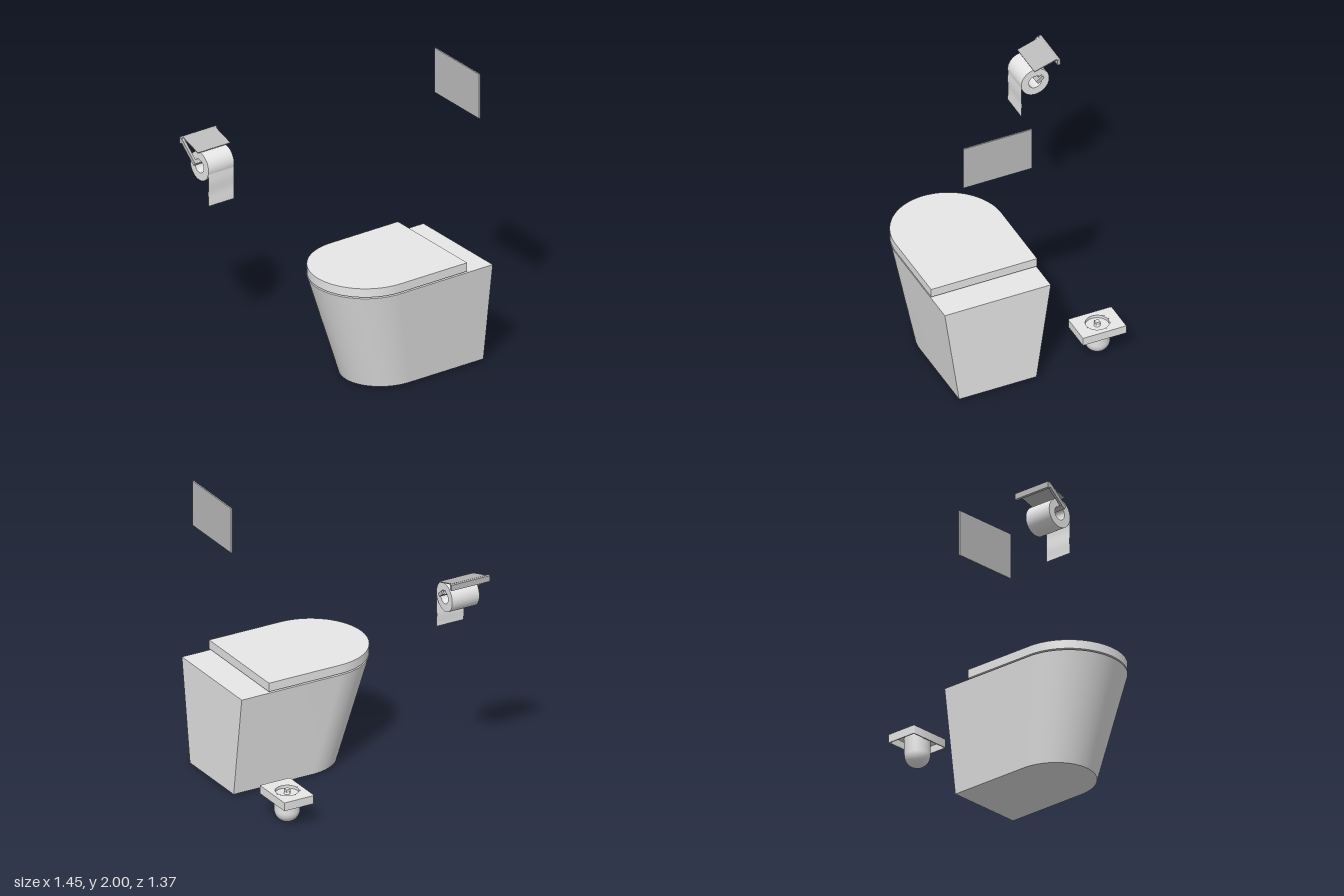
import * as THREE from 'three';
import { toCreasedNormals } from 'three/addons/utils/BufferGeometryUtils.js';

const mat = (name, color, side = THREE.FrontSide) => {
  const m = new THREE.MeshStandardMaterial({ color, side });
  m.name = name;
  return m;
};

export function createModel() {
  const white = mat('white ceramic', 0xe7e7e7, THREE.DoubleSide);
  const grey = mat('grey metal', 0xbcbcbc);
  const model = new THREE.Group();

  const add = (parent, name, geometry, material, x = 0, y = 0, z = 0) => {
    const mesh = new THREE.Mesh(geometry, material);
    mesh.name = name;
    mesh.position.set(x, y, z);
    parent.add(mesh);
    return mesh;
  };
  const group = (name) => {
    const g = new THREE.Group();
    g.name = name;
    model.add(g);
    return g;
  };
  // Axis-aligned box given by its limits
  const block = (parent, name, material, [x0, x1], [y0, y1], [z0, z1]) =>
    add(parent, name, new THREE.BoxGeometry(x1 - x0, y1 - y0, z1 - z0), material,
      (x0 + x1) / 2, (y0 + y1) / 2, (z0 + z1) / 2);
  // Bar or sheet sloping between two (z, y) points
  const slope = (parent, name, material, [x0, x1], a, b, thick) => {
    const dz = b[0] - a[0], dy = b[1] - a[1];
    const mesh = add(parent, name, new THREE.BoxGeometry(x1 - x0, thick, Math.hypot(dz, dy)), material,
      (x0 + x1) / 2, (a[1] + b[1]) / 2, (a[0] + b[0]) / 2);
    mesh.rotation.x = -Math.atan2(dy, dz);
    return mesh;
  };
  // Upright extrusion of a plan outline
  const slab = (shape, height) =>
    new THREE.ExtrudeGeometry(shape, { depth: height, bevelEnabled: false, curveSegments: 24 })
      .rotateX(-Math.PI / 2);

  // Plan outline with a round front and a square back
  const R = 0.371, BACK = 0.725;
  const roundFront = (back) => {
    const s = new THREE.Shape();
    s.moveTo(back, -R);
    s.lineTo(back, R);
    s.lineTo(0, R);
    s.absarc(0, 0, R, Math.PI / 2, Math.PI * 1.5, false);
    s.closePath();
    return s;
  };

  // Toilet: bowl tapers towards the floor while its back stays upright
  const toilet = group('toilet');
  const bowl = slab(roundFront(BACK), 0.7);
  const p = bowl.attributes.position;
  for (let i = 0; i < p.count; i++) {
    const t = 1 - p.getY(i) / 0.7;
    p.setX(i, BACK + (p.getX(i) - BACK) * (1 - 0.2 * t));
    p.setZ(i, p.getZ(i) * (1 - 0.27 * t));
  }
  add(toilet, 'bowl', toCreasedNormals(bowl, 0.6), white, 0, 0.015, 0.31);
  add(toilet, 'lid', toCreasedNormals(slab(roundFront(0.525), 0.06), 0.6), white, 0, 0.725, 0.31);

  // Flush plate on the wall
  block(model, 'flushPlate', grey, [0.715, 0.725], [1.69, 2], [0.07, 0.55]);

  // Brush holder: hollow bracket, round cup and brush
  const brush = group('brushHolder');
  brush.position.set(0.615, 0, -0.438);
  const bracketOutline = () => {
    const s = new THREE.Shape(), w = 0.11, d = 0.152, r = 0.012;
    s.moveTo(w, -d);
    s.lineTo(w, d);
    s.lineTo(-w + r, d);
    s.absarc(-w + r, d - r, r, Math.PI / 2, Math.PI, false);
    s.lineTo(-w, -d + r);
    s.absarc(-w + r, -d + r, r, Math.PI, Math.PI * 1.5, false);
    s.closePath();
    return s;
  };
  const top = bracketOutline();
  top.holes.push(new THREE.Path().absarc(0, 0, 0.083, 0, Math.PI * 2, true));
  add(brush, 'bracketTop', toCreasedNormals(slab(top, 0.008), 0.6), white, 0, 0.204, 0);
  const rim = bracketOutline();
  rim.holes.push(new THREE.Path().setFromPoints([[-0.102, -0.144], [-0.102, 0.144], [0.102, 0.144], [0.102, -0.144]]
    .map(([x, y]) => new THREE.Vector2(x, y))));
  add(brush, 'bracketRim', toCreasedNormals(slab(rim, 0.049), 0.6), white, 0, 0.155, 0);
  const cup = [];
  for (let i = 0; i <= 12; i++) {
    const a = (i / 12) * Math.PI / 2;
    cup.push(new THREE.Vector2(0.083 * Math.sin(a), 0.085 - 0.083 * Math.cos(a)));
  }
  cup.push(new THREE.Vector2(0.083, 0.212), new THREE.Vector2(0.076, 0.212), new THREE.Vector2(0.076, 0.19));
  add(brush, 'cup', toCreasedNormals(new THREE.LatheGeometry(cup, 32), 0.6), white);
  add(brush, 'brushLid', new THREE.CylinderGeometry(0.076, 0.076, 0.01, 32), white, 0, 0.187, 0);
  add(brush, 'brushStem', new THREE.CylinderGeometry(0.012, 0.022, 0.02, 16), white, 0, 0.2, 0);
  add(brush, 'brushKnob', new THREE.BoxGeometry(0.03, 0.018, 0.03), white, 0, 0.215, 0);

  // Paper holder: wall bar, side arm, rod with raised tip and sloping cover
  const holder = group('paperHolder');
  block(holder, 'wallBar', grey, [-0.728, -0.445], [1.45, 1.49], [-0.687, -0.667]);
  slope(holder, 'arm', grey, [-0.728, -0.71], [-0.67, 1.478], [-0.525, 1.358], 0.026);
  slope(holder, 'rod', grey, [-0.728, -0.445], [-0.548, 1.375], [-0.525, 1.357], 0.024);
  slope(holder, 'rodTip', grey, [-0.46, -0.445], [-0.568, 1.391], [-0.525, 1.357], 0.024);
  slope(holder, 'cover', grey, [-0.71, -0.457], [-0.67, 1.488], [-0.512, 1.44], 0.006);

  // Paper roll and its hanging sheet
  const paper = group('paper');
  const roll = [[0.045, -0.1], [0.098, -0.1], [0.098, 0.1], [0.045, 0.1], [0.045, -0.1]]
    .map(([r, y]) => new THREE.Vector2(r, y));
  add(paper, 'roll', toCreasedNormals(new THREE.LatheGeometry(roll, 40), 0.6).rotateZ(Math.PI / 2),
    white, -0.585, 1.335, -0.53);
  const sheet = new THREE.PlaneGeometry(0.2, 0.245, 1, 12);
  const q = sheet.attributes.position;
  for (let i = 0; i < q.count; i++) q.setZ(i, 0.002 * Math.sin(q.getY(i) * 40));
  sheet.computeVertexNormals();
  add(paper, 'hangingSheet', sheet, white, -0.585, 1.2125, -0.434);

  return model;
}
